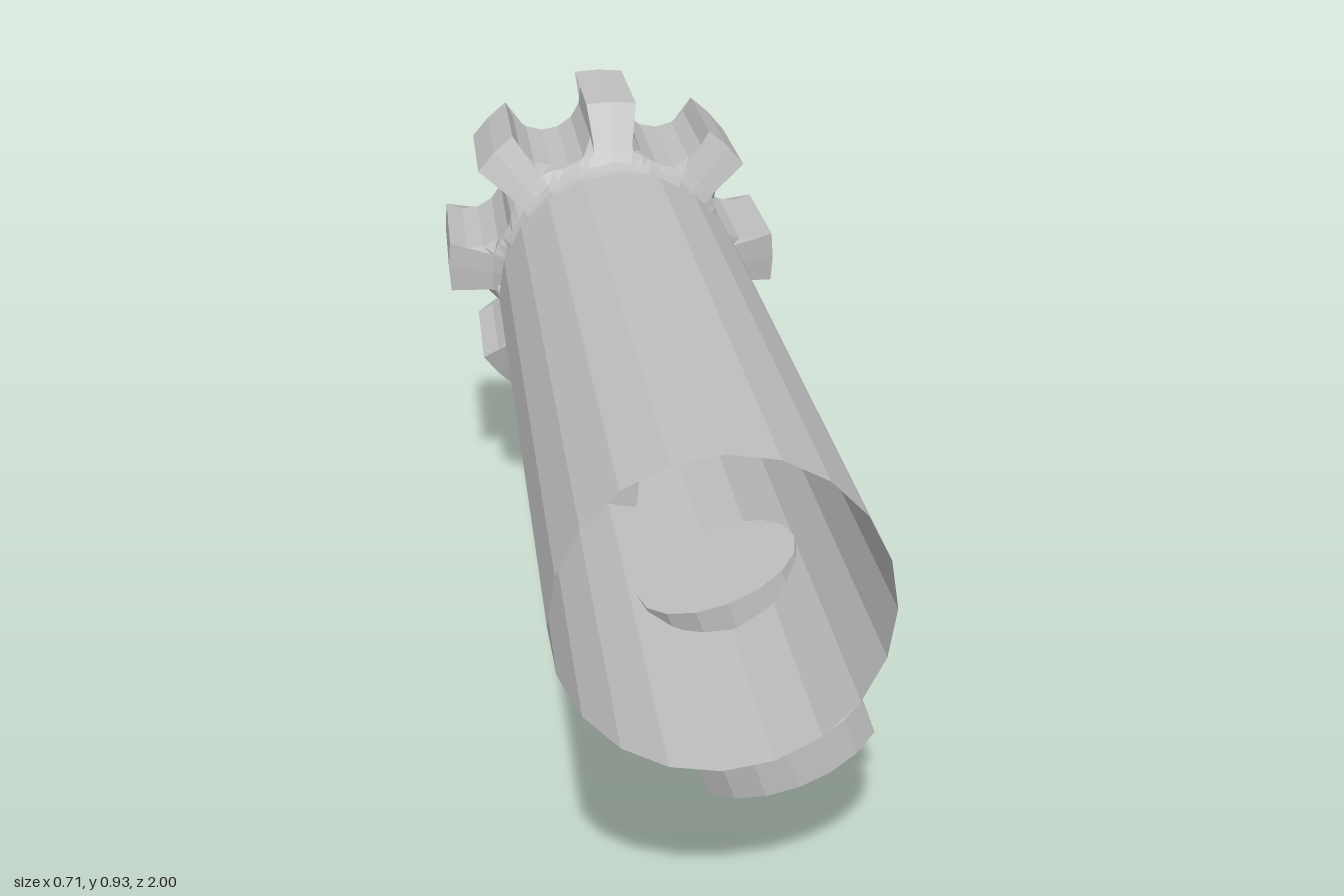
import * as THREE from 'three';

const AXIS_Y = 0.58, R = 0.255, SIDES = 20;

function build(positions) {
  const g = new THREE.BufferGeometry();
  g.setAttribute('position', new THREE.Float32BufferAttribute(positions, 3));
  g.computeVertexNormals();
  return g;
}

// Open faceted barrel with a round hole on its underside
function barrelGeometry(zFront, zBack) {
  const pos = [], sub = 6, holeAngle = -Math.PI / 2 + 0.35, holeZ = -0.3, holeR = 0.097;
  const point = (k) => {
    const i = Math.floor(k / sub), t = (k % sub) / sub;
    const a = (i / SIDES) * Math.PI * 2 - Math.PI, b = ((i + 1) / SIDES) * Math.PI * 2 - Math.PI;
    return [R * (Math.cos(a) * (1 - t) + Math.cos(b) * t), R * (Math.sin(a) * (1 - t) + Math.sin(b) * t)];
  };
  const half = ([x, y]) => {
    const u = R * Math.sin(Math.atan2(y, x) - holeAngle);
    const below = x * Math.cos(holeAngle) + y * Math.sin(holeAngle) > 0;
    return below ? Math.sqrt(Math.max(0, holeR * holeR - u * u)) : 0;
  };
  const quad = (p, q, zp0, zq0, zp1, zq1) => pos.push(
    ...p, zp0, ...p, zp1, ...q, zq0, ...q, zq0, ...p, zp1, ...q, zq1);
  for (let k = 0; k < SIDES * sub; k++) {
    const p = point(k), q = point((k + 1) % (SIDES * sub)), hp = half(p), hq = half(q);
    quad(p, q, zFront, zFront, holeZ + hp, holeZ + hq);
    quad(p, q, holeZ - hp, holeZ - hq, zBack, zBack);
  }
  return build(pos);
}

// Gear outline in polar form: straight tooth tips, scooped valleys
function gearOutline(teeth, tipR, scoopAt, scoopR) {
  const pts = [], step = (Math.PI * 2) / teeth;
  const along = (tipR * tipR + scoopAt * scoopAt - scoopR * scoopR) / (2 * scoopAt);
  const end = Math.atan2(Math.sqrt(tipR * tipR - along * along), along - scoopAt);
  for (let i = 0; i < teeth; i++) {
    pts.push([i * step, tipR]);
    for (let j = 0; j <= 8; j++) {
      const a = -end - (j / 8) * (Math.PI * 2 - 2 * end);
      const x = scoopAt + scoopR * Math.cos(a), y = scoopR * Math.sin(a);
      pts.push([(i + 0.5) * step + Math.atan2(y, x), Math.hypot(x, y)]);
    }
  }
  return pts;
}

// Knob: the gear outline limited by a radius at each depth, then a round recess
function knobGeometry() {
  const outline = gearOutline(8, 0.353, 0.33, 0.086), n = outline.length, pos = [];
  const profile = [[-0.62, 0.235], [-0.645, 0.26], [-0.69, 0.353], [-1, 0.353], [-1, 0.2], [-0.9, 0.2], [-0.9, 0]];
  const rings = profile.map(([z, limit]) => outline.map(([a, r]) => {
    const m = Math.min(r, limit);
    return [m * Math.cos(a), m * Math.sin(a), z];
  }));
  for (let i = 0; i < rings.length - 1; i++) {
    for (let j = 0; j < n; j++) {
      const k = (j + 1) % n, a = rings[i][j], b = rings[i][k], c = rings[i + 1][j], d = rings[i + 1][k];
      pos.push(...a, ...c, ...b, ...b, ...c, ...d);
    }
  }
  return build(pos);
}

export function createModel() {
  const grey = new THREE.MeshStandardMaterial({ color: 0xc0c0c0, flatShading: true, side: THREE.DoubleSide });
  grey.name = 'plain grey';
  const model = new THREE.Group();
  const body = new THREE.Group();
  body.name = 'body';
  body.position.y = AXIS_Y;
  model.add(body);
  const add = (parent, name, geometry, x = 0, y = 0, z = 0) => {
    const mesh = new THREE.Mesh(geometry, grey);
    mesh.name = name;
    mesh.position.set(x, y, z);
    parent.add(mesh);
    return mesh;
  };

  add(body, 'barrel', barrelGeometry(1, -0.48));

  // Grooved neck between barrel and knob
  const neck = [[0.255, 0.48], [0.238, 0.505], [0.227, 0.535], [0.225, 0.565], [0.23, 0.6], [0.242, 0.63], [0.25, 0.645]]
    .map(([r, d]) => new THREE.Vector2(r, d));
  add(body, 'neck', new THREE.LatheGeometry(neck, SIDES).rotateX(-Math.PI / 2));
  add(body, 'innerWall', new THREE.CircleGeometry(0.228, SIDES), 0, 0, -0.6);

  add(body, 'knob', knobGeometry());

  // Curved strip along the lower side, ending inside the knob recess
  const arc = new THREE.Shape();
  const from = THREE.MathUtils.degToRad(186), to = THREE.MathUtils.degToRad(264);
  arc.absarc(0, 0, 0.253, from, to, false);
  arc.absarc(0, 0, 0.187, to, from, true);
  add(body, 'curvedStrip', new THREE.ExtrudeGeometry(arc, { depth: 1, bevelEnabled: false, curveSegments: 8 }), 0, 0, -0.95);

  // Two round studs in the recess
  for (const s of [-1, 1]) {
    add(body, 'stud', new THREE.SphereGeometry(0.06, 10, 8), 0.04 + s * 0.1, 0.04 - s * 0.105, -0.925);
  }

  // Tilted side post with a flat-sided foot
  const post = new THREE.Group();
  post.name = 'sidePost';
  post.position.z = 0.435;
  post.rotation.z = THREE.MathUtils.degToRad(20);
  body.add(post);
  const stem = [[0, 0.5], [0.128, 0.5], [0.128, 0.478], [0.145, 0.455], [0.145, 0.206], [0, 0.206]]
    .map(([r, d]) => new THREE.Vector2(r, -d));
  add(post, 'postStem', new THREE.LatheGeometry(stem, 16));
  const foot = new THREE.CylinderGeometry(0.19, 0.19, 0.07, 20);
  const p = foot.attributes.position;
  for (let i = 0; i < p.count; i++) p.setX(i, THREE.MathUtils.clamp(p.getX(i), -0.155, 0.155));
  add(post, 'postFoot', foot, 0, -0.525, 0);

  return model;
}
